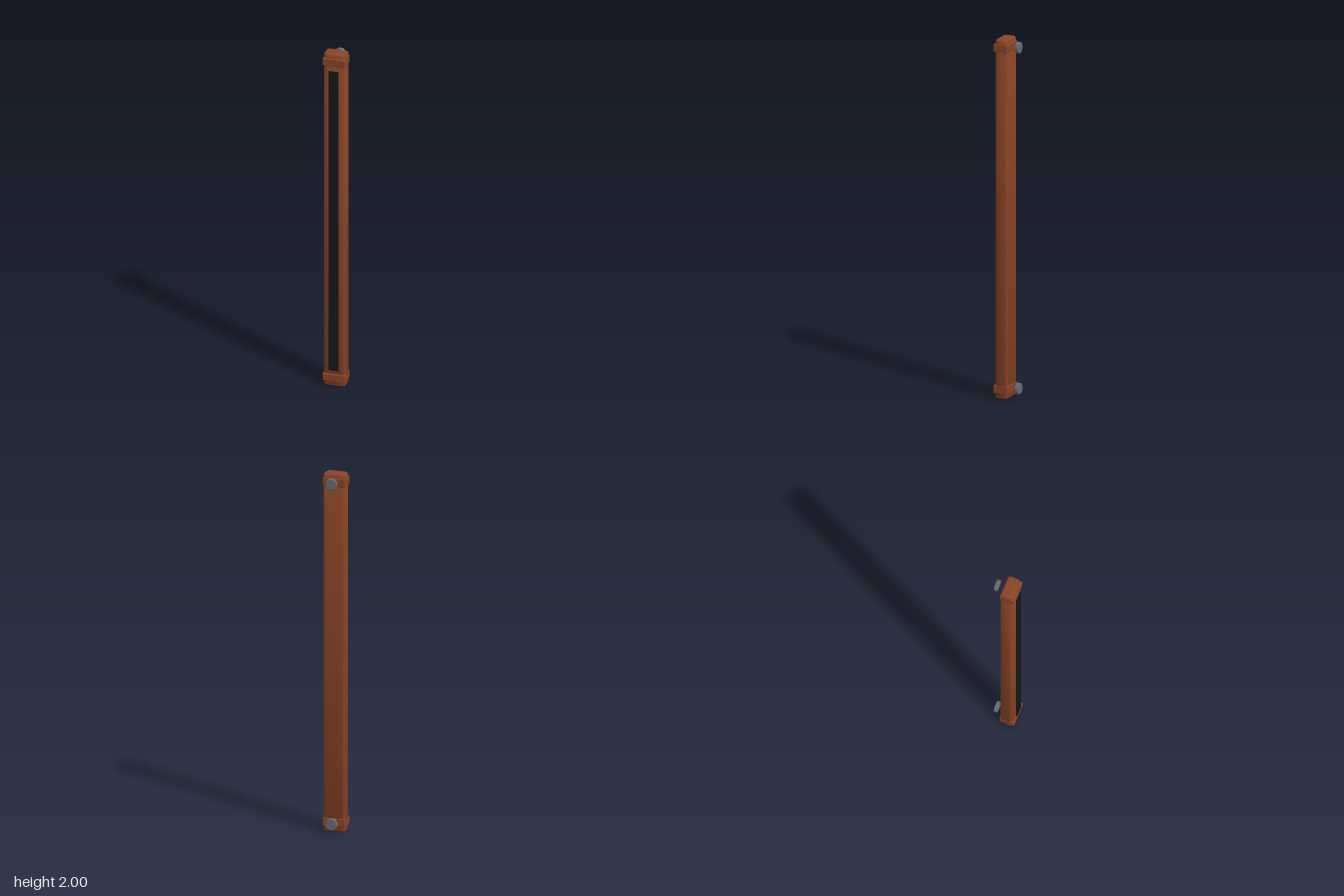
import * as THREE from 'three';
import { RoundedBoxGeometry } from 'three/addons/geometries/RoundedBoxGeometry.js';
import { toCreasedNormals } from 'three/addons/utils/BufferGeometryUtils.js';

export function createModel() {
  const group = new THREE.Group();
  const brown = new THREE.MeshStandardMaterial({ color: 0x8a4426 });
  const black = new THREE.MeshStandardMaterial({ color: 0x15161a });
  const steel = new THREE.MeshStandardMaterial({ color: 0x666b70 });

  const add = (name, geometry, material, x, y, z) => {
    const mesh = new THREE.Mesh(geometry, material);
    mesh.name = name;
    mesh.position.set(x, y, z);
    group.add(mesh);
    return mesh;
  };

  // Long bar: cross-section with softer front corners, rounded over at both ends
  const w = 0.063, front = 0.056, back = -0.019, rf = 0.027, rb = 0.016, bevel = 0.015;
  const section = new THREE.Shape();
  section.moveTo(-w + rf, -front);
  section.lineTo(w - rf, -front);
  section.quadraticCurveTo(w, -front, w, -front + rf);
  section.lineTo(w, -back - rb);
  section.quadraticCurveTo(w, -back, w - rb, -back);
  section.lineTo(-w + rb, -back);
  section.quadraticCurveTo(-w, -back, -w, -back - rb);
  section.lineTo(-w, -front + rf);
  section.quadraticCurveTo(-w, -front, -w + rf, -front);
  const bar = new THREE.ExtrudeGeometry(section, {
    depth: 2 - 2 * bevel, curveSegments: 8,
    bevelThickness: bevel, bevelSize: bevel, bevelOffset: -bevel, bevelSegments: 4,
  });
  bar.rotateX(-Math.PI / 2); // extrusion runs up, shape y becomes -z
  add('body', toCreasedNormals(bar, 0.6), brown, 0, bevel, 0);

  // Dark strip along the front
  add('frontStrip', new THREE.BoxGeometry(0.056, 1.8, 0.008), black, 0, 1, 0.063);

  // Disc profile with slightly eased rims
  const r = 0.032, h = 0.0105, e = 0.003;
  const profile = [[0, -h], [r - e, -h], [r, -h + e], [r, h - e], [r - e, h], [0, h]]
    .map(([x, y]) => new THREE.Vector2(x, y));

  // Collar and rear magnet disc at each end
  for (const [end, y] of [['lower', 0.052], ['upper', 1.951]]) {
    add(end + 'Collar', new RoundedBoxGeometry(0.127, 0.046, 0.085, 3, 0.006), brown, 0, y, 0.02);
    const disc = toCreasedNormals(new THREE.LatheGeometry(profile, 32), 0.5);
    disc.rotateX(Math.PI / 2);
    add(end + 'RearDisc', disc, steel, 0, y + 0.001, -0.059);
  }
  return group;
}
